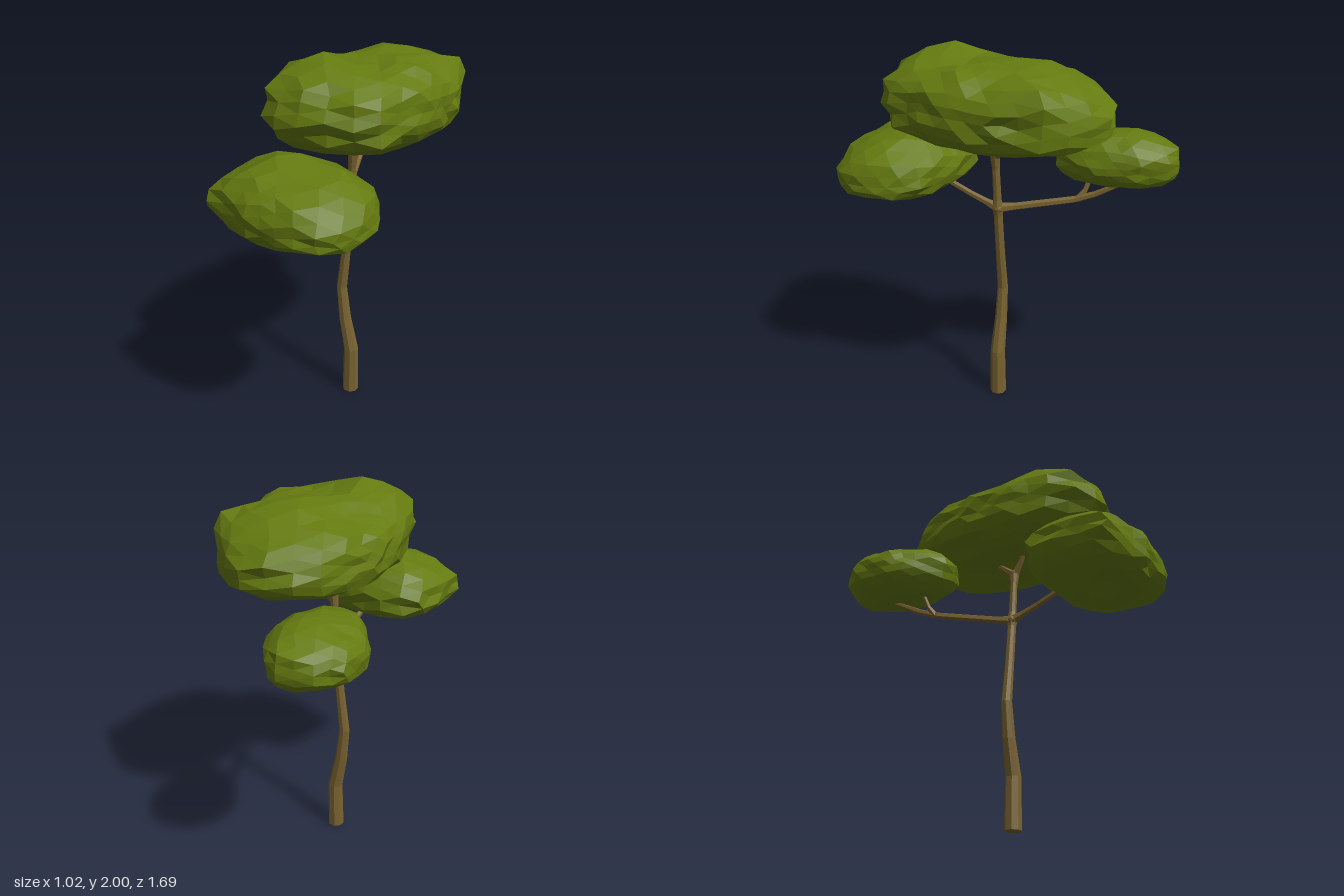
import * as THREE from 'three';

const bark = new THREE.MeshStandardMaterial({ color: 0x786230, flatShading: true });
const leaf = new THREE.MeshStandardMaterial({ color: 0x657a10, flatShading: true });

// Repeatable value in 0..1 for a direction, so shared corners move together
function hash(x, y, z, seed) {
  const q = (v) => Math.round(v * 1000);
  const s = Math.sin(q(x) * 0.129898 + q(y) * 0.78233 + q(z) * 0.37719 + seed * 17.3) * 43758.5453;
  return s - Math.floor(s);
}

// Tapered, capped limb through points, with a mitred ring at each point
function limb(name, path, sides = 8) {
  const pts = path.map((p) => new THREE.Vector3(p[0], p[1], p[2]));
  const last = pts.length - 1;
  const rings = path.map((p, i) => ({ i, r: p[3] }));
  rings.unshift({ i: 0, r: 0 });
  rings.push({ i: last, r: 0 });
  const span = pts[last].clone().sub(pts[0]).normalize();
  const ref = Math.abs(span.y) > 0.8 ? new THREE.Vector3(0, 0, 1) : new THREE.Vector3(0, 1, 0);
  const pos = [], index = [];
  rings.forEach(({ i, r }, k) => {
    const t = pts[Math.min(i + 1, last)].clone().sub(pts[Math.max(i - 1, 0)]).normalize();
    const u = new THREE.Vector3().crossVectors(ref, t).normalize();
    const v = new THREE.Vector3().crossVectors(t, u);
    for (let j = 0; j < sides; j++) {
      const a = ((j + 0.5) / sides) * Math.PI * 2;
      const p = pts[i].clone().addScaledVector(u, Math.cos(a) * r).addScaledVector(v, Math.sin(a) * r);
      pos.push(p.x, p.y, p.z);
      if (k === 0) continue;
      const n = (j + 1) % sides, b = (k - 1) * sides, c = k * sides;
      index.push(b + j, b + n, c + n, b + j, c + n, c + j);
    }
  });
  const geo = new THREE.BufferGeometry();
  geo.setAttribute('position', new THREE.Float32BufferAttribute(pos, 3));
  geo.setIndex(index);
  geo.computeVertexNormals();
  const mesh = new THREE.Mesh(geo, bark);
  mesh.name = name;
  return mesh;
}

function knot(name, x, y, z, r) {
  const mesh = new THREE.Mesh(new THREE.IcosahedronGeometry(r, 1), bark);
  mesh.position.set(x, y, z);
  mesh.name = name;
  return mesh;
}

// Faceted foliage: a squarish ball stretched to a plan outline of [x, z] points,
// with bumps [x, z, height, width] on its upper side
function foliage(name, o) {
  const [cx, cy, cz] = o.center;
  const rim = o.outline
    .map(([x, z]) => ({ a: Math.atan2(z - cz, x - cx), r: Math.hypot(x - cx, z - cz) }))
    .sort((m, n) => m.a - n.a);
  const first = rim[0], end = rim[rim.length - 1];
  rim.unshift({ a: end.a - Math.PI * 2, r: end.r });
  rim.push({ a: first.a + Math.PI * 2, r: first.r });
  // Distance from the centre to the straight outline edge at an angle
  const radius = (a) => {
    let k = 1;
    while (k < rim.length - 1 && rim[k].a < a) k++;
    const m = rim[k - 1], n = rim[k];
    return (m.r * n.r * Math.sin(n.a - m.a)) / (m.r * Math.sin(a - m.a) + n.r * Math.sin(n.a - a));
  };
  const geo = new THREE.IcosahedronGeometry(1, o.detail);
  const p = geo.attributes.position;
  for (let i = 0; i < p.count; i++) {
    const x = p.getX(i), y = p.getY(i), z = p.getZ(i);
    // rounder above, flatter below
    const h = Math.hypot(x, z), e = y > 0 ? 2.4 : 3;
    const s = Math.pow(Math.pow(h, e) + Math.pow(Math.abs(y), e), -1 / e);
    // corners sink inwards by uneven amounts
    const w = s * (1.035 - 0.085 * hash(x, y, z, o.seed));
    const a = h < 1e-5 ? 0 : Math.atan2(z, x);
    const r = h < 1e-5 ? 0 : radius(a) * h * w;
    const px = r * Math.cos(a), pz = r * Math.sin(a);
    let py = y * w * (y > 0 ? o.up : o.down) + (px * o.tilt[0] + pz * o.tilt[1]) * (y > 0 ? 1 : 1 + y);
    const upper = THREE.MathUtils.smoothstep(y, -0.5, 0.5);
    for (const [bx, bz, height, width] of o.bumps) {
      const d = Math.hypot(cx + px - bx, cz + pz - bz) / width;
      py += height * upper * Math.exp(-d * d);
    }
    p.setXYZ(i, cx + px, cy + py, cz + pz);
  }
  geo.computeVertexNormals();
  const mesh = new THREE.Mesh(geo, leaf);
  mesh.name = name;
  return mesh;
}

export function createModel() {
  const tree = new THREE.Group();
  tree.name = 'tree';

  // Trunk and limbs: x, y, z, radius
  tree.add(
    limb('trunk', [
      [0.026, 0, 0.03, 0.045], [0.03, 0.27, 0.03, 0.041], [-0.01, 0.46, 0.03, 0.034],
      [-0.031, 0.65, 0.03, 0.029], [-0.003, 0.87, 0.03, 0.025], [0.021, 1.1, 0.03, 0.024],
      [0.024, 1.14, 0.03, 0.03], [0.028, 1.19, 0.031, 0.022], [0.037, 1.36, 0.034, 0.02], [0.045, 1.44, 0.035, 0.027],
    ]),
    knot('lowerFork', 0.022, 1.14, 0.03, 0.033),
    knot('upperFork', 0.045, 1.44, 0.035, 0.027),
    limb('frontBranch', [[0.022, 1.14, 0.03, 0.03], [0.03, 1.165, 0.09, 0.02], [0.04, 1.2, 0.18, 0.017], [0.05, 1.26, 0.32, 0.016], [0.06, 1.33, 0.45, 0.011]], 6),
    limb('backBranch', [
      [0.022, 1.14, 0.03, 0.03], [-0.02, 1.145, -0.04, 0.021], [-0.18, 1.18, -0.32, 0.019],
      [-0.215, 1.215, -0.42, 0.017], [-0.25, 1.29, -0.56, 0.012], [-0.27, 1.35, -0.64, 0.008],
    ], 6),
    limb('backTwig', [[-0.185, 1.18, -0.335, 0.02], [-0.21, 1.23, -0.365, 0.014], [-0.25, 1.36, -0.4, 0.01]], 6),
    limb('topForkFront', [[0.045, 1.43, 0.035, 0.024], [0.04, 1.5, 0.08, 0.016], [0.03, 1.6, 0.13, 0.011]], 6),
    limb('topForkBack', [[0.045, 1.43, 0.035, 0.024], [0.06, 1.5, -0.04, 0.016], [0.07, 1.58, -0.13, 0.011]], 6),
  );

  // Foliage
  tree.add(
    foliage('topFoliage', {
      center: [0.11, 1.73, 0], up: 0.22, down: 0.205, tilt: [0, 0.05], seed: 2, detail: 4,
      bumps: [
        [0.04, 0.31, 0.06, 0.13], [0.2, 0.15, -0.03, 0.12], [-0.14, -0.08, -0.05, 0.12],
        [0.15, -0.25, 0.03, 0.2], [0.43, -0.36, 0.075, 0.14], [0.44, 0.05, 0.025, 0.15], [-0.16, 0.4, 0.03, 0.12],
      ],
      outline: [
        [0.06, -0.61], [0.32, -0.54], [0.43, -0.41], [0.49, -0.2], [0.52, 0], [0.48, 0.2],
        [0.43, 0.42], [0.36, 0.49], [0.13, 0.58], [-0.08, 0.59], [-0.18, 0.45], [-0.24, 0.29],
        [-0.27, 0.14], [-0.3, -0.1], [-0.26, -0.3], [-0.19, -0.5],
      ],
    }),
    foliage('frontFoliage', {
      center: [0.08, 1.34, 0.55], up: 0.185, down: 0.145, tilt: [-0.07, -0.03], seed: 5, detail: 3,
      bumps: [[0, 0.5, 0.03, 0.14], [0.3, 0.5, 0.025, 0.12], [0.15, 0.6, -0.02, 0.08], [-0.2, 0.6, -0.02, 0.1]],
      outline: [
        [-0.31, 0.77], [-0.15, 0.81], [0, 0.845], [0.3, 0.84], [0.42, 0.77], [0.49, 0.57],
        [0.45, 0.4], [0.33, 0.29], [0.1, 0.24], [-0.15, 0.25], [-0.29, 0.31], [-0.33, 0.5],
      ],
    }),
    foliage('backFoliage', {
      center: [-0.28, 1.42, -0.52], up: 0.14, down: 0.135, tilt: [0, 0], seed: 9, detail: 3,
      bumps: [[-0.26, -0.58, 0.02, 0.13], [-0.42, -0.5, -0.02, 0.1]],
      outline: [
        [-0.28, -0.845], [-0.4, -0.8], [-0.52, -0.65], [-0.49, -0.42], [-0.37, -0.27],
        [-0.24, -0.18], [-0.1, -0.22], [-0.04, -0.45], [-0.09, -0.68], [-0.19, -0.8],
      ],
    }),
  );
  return tree;
}
